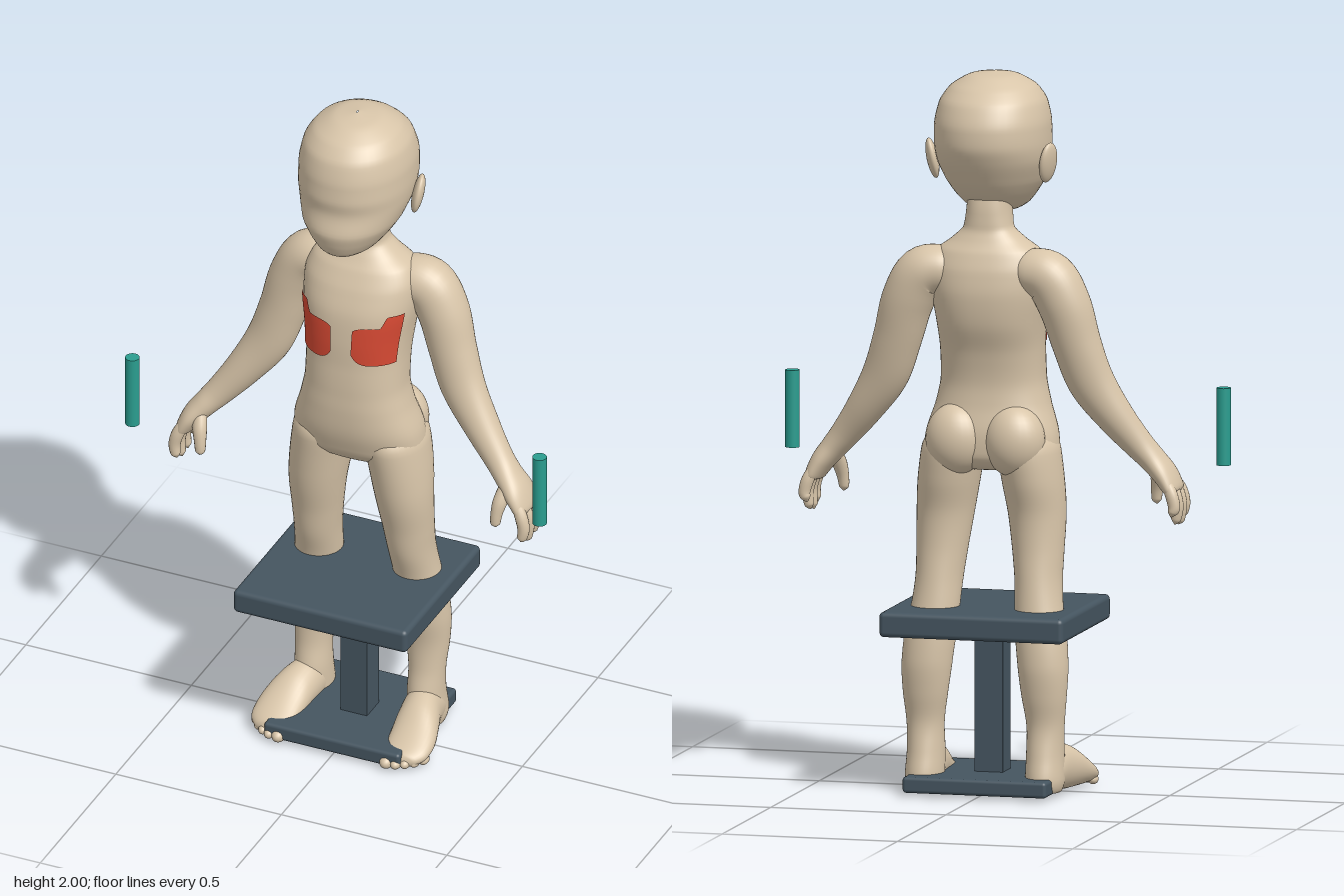
import * as THREE from 'three';
import { RoundedBoxGeometry } from 'three/addons/geometries/RoundedBoxGeometry.js';

const mat = (name, color, side = THREE.FrontSide) => {
  const m = new THREE.MeshStandardMaterial({ color, side });
  m.name = name;
  return m;
};
const V = (x, y, z) => new THREE.Vector3(x, y, z);

// Level cross-section: height, half width, front z, back z, centre x
const level = (y, hw, front, back, x = 0) => [x, y, (front + back) / 2, hw, (front - back) / 2];
const mirror = (rows, s) => rows.map(([x, ...rest]) => [x * s, ...rest]);

// Smooth skin through rows [x, y, z, ru, rv]. mode: 'level' rings run downward,
// 'foot' rings run forward, 'path' rings stand across the limb.
function skinOf(rows, mode = 'level', power = 2) {
  const centres = new THREE.CatmullRomCurve3(rows.map(r => V(r[0], r[1], r[2])));
  const radii = new THREE.CatmullRomCurve3(rows.map(r => V(r[3], r[4], 0)));
  const bend = c => Math.sign(c) * Math.abs(c) ** (2 / power);
  return (t, a, grow = 0) => {
    const p = centres.getPoint(t), r = radii.getPoint(t);
    let u = V(1, 0, 0);
    const v = mode === 'foot' ? V(0, 1, 0) : V(0, 0, 1);
    if (mode === 'path') u = V(0, 0, 1).cross(centres.getTangent(t)).normalize();
    return p.addScaledVector(u, bend(Math.cos(a)) * (Math.max(r.x, 0.001) + grow))
      .addScaledVector(v, bend(Math.sin(a)) * (Math.max(r.y, 0.001) + grow));
  };
}

function gridGeometry(point, rings, cols, closed) {
  const pos = [], index = [], n = closed ? cols : cols + 1;
  for (let i = 0; i <= rings; i++)
    for (let j = 0; j < n; j++) pos.push(...point(i / rings, j / cols).toArray());
  for (let i = 0; i < rings; i++)
    for (let j = 0; j < cols; j++) {
      const a = i * n + j, b = i * n + (j + 1) % n;
      index.push(a, b, b + n, a, b + n, a + n);
    }
  const g = new THREE.BufferGeometry();
  g.setAttribute('position', new THREE.Float32BufferAttribute(pos, 3));
  g.setIndex(index);
  g.computeVertexNormals();
  return g;
}

export function createModel() {
  const model = new THREE.Group();
  const skin = mat('skin', 0xd8c5a9);
  const slate = mat('slate', 0x455560);
  const teal = mat('teal', 0x2a9d8f);
  const red = mat('red', 0xd64933, THREE.DoubleSide);

  const add = (name, geometry, material, x = 0, y = 0, z = 0) => {
    const m = new THREE.Mesh(geometry, material);
    m.name = name;
    m.position.set(x, y, z);
    model.add(m);
    return m;
  };
  const loft = (name, rows, mode, power, cols = 40) => {
    const f = skinOf(rows, mode, power);
    return add(name, gridGeometry((t, c) => f(t, c * Math.PI * 2), rows.length * 5, cols, true), skin);
  };
  const blob = (name, x, y, z, rx, ry, rz) => {
    const m = add(name, new THREE.SphereGeometry(1, 28, 20), skin, x, y, z);
    m.scale.set(rx, ry, rz);
    return m;
  };

  // Head with a soft, featureless face
  loft('head', [
    level(2.0, 0.002, 0, -0.01), level(1.99, 0.066, 0.065, -0.08), level(1.96, 0.118, 0.12, -0.135),
    level(1.92, 0.146, 0.155, -0.177), level(1.86, 0.159, 0.172, -0.202), level(1.81, 0.16, 0.176, -0.203),
    level(1.76, 0.155, 0.171, -0.185), level(1.7, 0.135, 0.184, -0.15), level(1.66, 0.11, 0.174, -0.118),
    level(1.63, 0.085, 0.16, -0.08), level(1.612, 0.055, 0.138, -0.03), level(1.606, 0.002, 0.07, 0.066),
  ], 'level', 2.1, 48);

  // Neck and torso
  const torsoRows = [
    level(1.7, 0.058, -0.02, -0.1), level(1.62, 0.063, 0.012, -0.115), level(1.575, 0.069, 0.003, -0.118),
    level(1.54, 0.105, 0.02, -0.13), level(1.51, 0.145, 0.042, -0.147), level(1.46, 0.165, 0.07, -0.165),
    level(1.39, 0.163, 0.095, -0.173), level(1.31, 0.151, 0.104, -0.163), level(1.23, 0.145, 0.106, -0.136),
    level(1.15, 0.146, 0.11, -0.122), level(1.08, 0.16, 0.111, -0.126), level(1.0, 0.185, 0.103, -0.142),
    level(0.94, 0.19, 0.085, -0.14), level(0.905, 0.15, 0.055, -0.11), level(0.89, 0.002, 0, -0.01),
  ];
  loft('torso', torsoRows, 'level', 2.3, 48);
  const torso = skinOf(torsoRows, 'level', 2.3);
  const torsoAt = (y, a, grow) => {
    let lo = 0, hi = 1;
    for (let i = 0; i < 24; i++) {
      const mid = (lo + hi) / 2;
      if (torso(mid, 0).y > y) lo = mid; else hi = mid;
    }
    return torso(lo, a, grow);
  };

  for (const s of [1, -1]) {
    const side = s > 0 ? 'left' : 'right';
    const limb = (name, rows, mode, cols) => loft(side + name, mirror(rows, s), mode, 2, cols);

    // Ear
    const ear = blob(side + 'Ear', s * 0.165, 1.755, -0.045, 0.016, 0.058, 0.036);
    ear.rotation.set(-0.15, s * 0.35, -s * 0.15);

    // Chest pad follows the torso, taller on its outer part
    const pad = gridGeometry((t, c) => {
      const a = THREE.MathUtils.degToRad(24 + 57 * c);
      const top = 1.366 + 0.034 * (1 - THREE.MathUtils.smoothstep(c, 0.38, 0.52)) - 0.012 * c ** 12;
      const bottom = 1.248 + 0.03 * c ** 10;
      const p = torsoAt(THREE.MathUtils.lerp(top, bottom, t), a, 0.004);
      p.x *= s;
      return p;
    }, 10, 30, false);
    if (s < 0) {
      const ix = pad.index.array;
      for (let i = 0; i < ix.length; i += 3) [ix[i], ix[i + 1]] = [ix[i + 1], ix[i]];
      pad.computeVertexNormals();
    }
    add(side + 'ChestPad', pad, red);

    // Arm from shoulder to wrist, then palm
    limb('Arm', [
      [0.06, 1.455, -0.075, 0.03, 0.04], [0.12, 1.455, -0.08, 0.065, 0.07], [0.18, 1.44, -0.085, 0.074, 0.075],
      [0.222, 1.37, -0.084, 0.073, 0.073], [0.255, 1.26, -0.075, 0.068, 0.064], [0.292, 1.155, -0.062, 0.065, 0.056],
      [0.357, 1.055, -0.042, 0.052, 0.05], [0.42, 0.975, -0.02, 0.041, 0.044], [0.455, 0.935, -0.008, 0.036, 0.05],
      [0.488, 0.895, -0.002, 0.032, 0.062], [0.511, 0.855, -0.002, 0.025, 0.064], [0.515, 0.838, -0.002, 0.002, 0.03],
    ], 'path');

    // Fingers and thumb
    [[-0.052, 0.785], [-0.018, 0.76], [0.017, 0.755], [0.049, 0.77]].forEach(([z, tip], i) => limb('Finger' + (i + 1), [
      [0.495, 0.89, z * 0.8, 0.014, 0.014], [0.519, 0.845, z, 0.018, 0.017], [0.527, 0.81, z * 1.05, 0.017, 0.016],
      [0.523, tip + 0.013, z * 1.08, 0.014, 0.014], [0.519, tip, z * 1.08, 0.002, 0.002],
    ], 'path', 14));
    limb('Thumb', [
      [0.465, 0.925, 0.02, 0.02, 0.02], [0.455, 0.885, 0.043, 0.021, 0.021], [0.448, 0.845, 0.056, 0.017, 0.017],
      [0.446, 0.815, 0.06, 0.014, 0.014], [0.447, 0.803, 0.06, 0.002, 0.002],
    ], 'path', 14);

    // Buttock
    blob(side + 'Buttock', s * 0.083, 0.985, -0.095, 0.086, 0.1, 0.077);

    // Leg
    const leg = (y, inner, outer, front, back) => level(y, (outer - inner) / 2, front, back, (outer + inner) / 2);
    limb('Leg', [
      leg(1.04, 0.06, 0.14, 0.04, -0.09), leg(0.96, 0.02, 0.193, 0.085, -0.15), leg(0.87, 0.034, 0.205, 0.074, -0.14),
      leg(0.78, 0.05, 0.21, 0.06, -0.12), leg(0.68, 0.065, 0.208, 0.036, -0.12), leg(0.6, 0.075, 0.207, 0.02, -0.13),
      leg(0.52, 0.08, 0.215, -0.005, -0.143), leg(0.44, 0.086, 0.23, -0.022, -0.157), leg(0.36, 0.095, 0.236, -0.034, -0.163),
      leg(0.28, 0.106, 0.232, -0.046, -0.155), leg(0.2, 0.118, 0.224, -0.042, -0.143), leg(0.12, 0.118, 0.222, -0.025, -0.155),
      leg(0.05, 0.118, 0.225, -0.025, -0.17), leg(0.015, 0.13, 0.215, -0.04, -0.155), leg(0.01, 0.17, 0.174, -0.09, -0.094),
    ]);

    // Foot, turned slightly out, with toes
    limb('Foot', [
      [0.17, 0.06, -0.15, 0.003, 0.003], [0.172, 0.065, -0.12, 0.048, 0.055], [0.178, 0.077, -0.05, 0.055, 0.068],
      [0.19, 0.07, 0.01, 0.062, 0.062], [0.2, 0.052, 0.07, 0.067, 0.043], [0.201, 0.037, 0.12, 0.063, 0.029],
      [0.195, 0.03, 0.15, 0.045, 0.02], [0.193, 0.028, 0.162, 0.002, 0.002],
    ], 'foot', 32);
    [[0.163, 0.155, 0.02], [0.191, 0.158, 0.015], [0.214, 0.147, 0.014], [0.234, 0.13, 0.014], [0.252, 0.107, 0.014]]
      .forEach(([x, z, r], i) => blob(side + 'Toe' + (i + 1), s * x, 0.022, z, r, r, r * 1.5));

    // Grip
    add(side + 'Grip', new THREE.CylinderGeometry(0.02, 0.02, 0.215, 24), teal, s * 0.615, 1.013, 0.138);
  }

  // Stool
  add('seat', new RoundedBoxGeometry(0.525, 0.07, 0.5, 4, 0.014), slate, 0, 0.482, 0);
  add('post', new THREE.BoxGeometry(0.08, 0.42, 0.08), slate, 0, 0.25, -0.02);
  add('basePlate', new RoundedBoxGeometry(0.41, 0.045, 0.385, 4, 0.01), slate, 0, 0.034, -0.022);
  return model;
}
